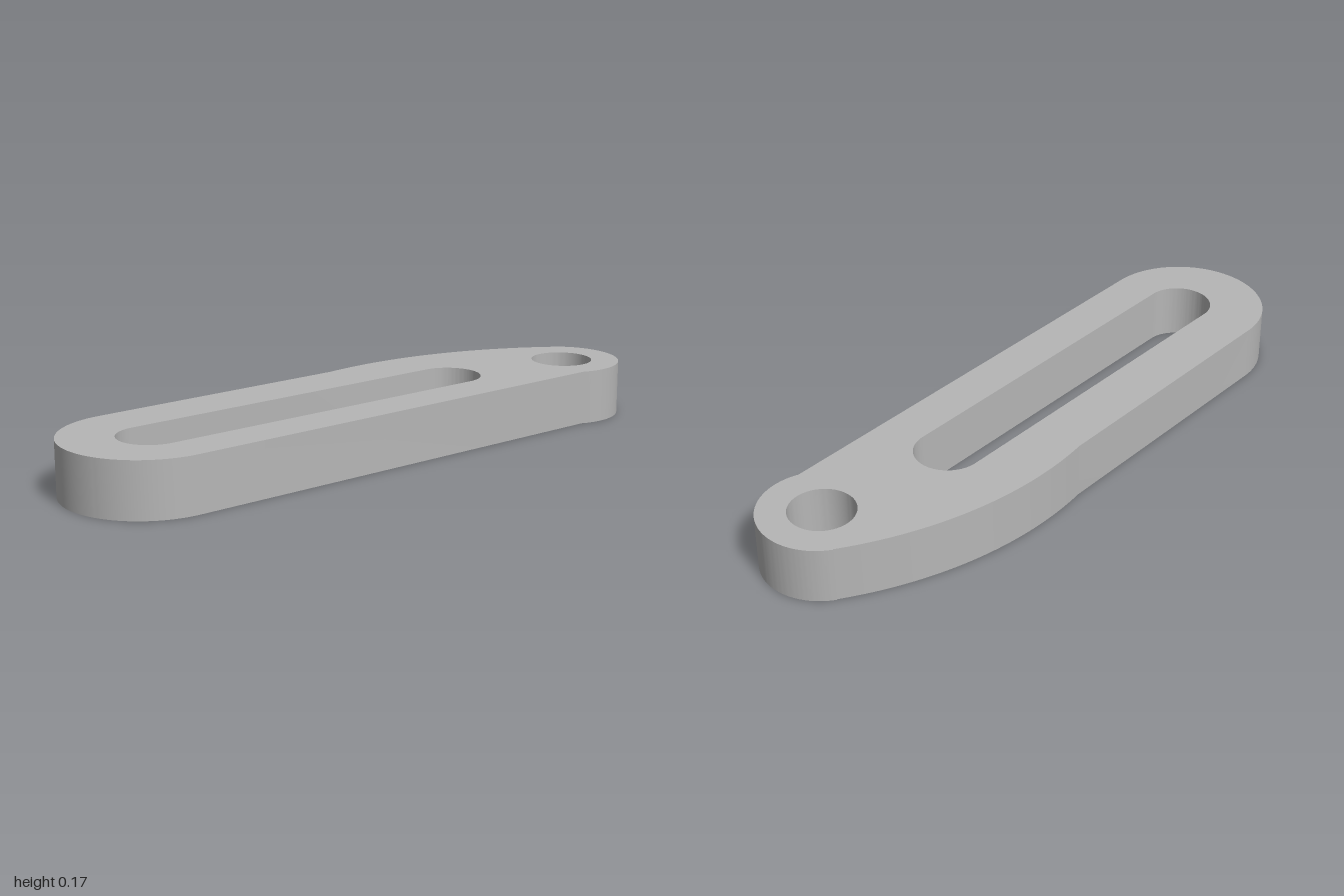
import * as THREE from 'three';
import { toCreasedNormals } from 'three/addons/utils/BufferGeometryUtils.js';

const deg = THREE.MathUtils.degToRad;
const THICKNESS = 0.173;
const TILT = deg(14.36); // slope of the arm

export function createModel() {
  const group = new THREE.Group();
  group.name = 'slottedArm';
  const grey = new THREE.MeshStandardMaterial({ color: 0xb6b6b6 });
  grey.name = 'grey metal';

  // Outline, drawn counter-clockwise; shape y becomes -z
  const outline = new THREE.Shape();
  outline.absarc(-0.74, -0.145, 0.26, TILT + Math.PI / 2, TILT + Math.PI * 1.5, false); // wide end
  outline.absarc(0.81, 0.165, 0.188, deg(-99), deg(69.9), false); // eye end
  outline.absarc(0.475, -0.753, 1.163, deg(69.9), deg(112), false); // bulged back edge
  outline.closePath();

  // Long slot
  const slot = new THREE.Path();
  slot.absarc(-0.73, -0.158, 0.104, TILT + Math.PI / 2, TILT + Math.PI * 1.5, false);
  slot.absarc(0.362, 0.122, 0.104, TILT - Math.PI / 2, TILT + Math.PI / 2, false);
  slot.closePath();

  // Round eye hole
  const eye = new THREE.Path();
  eye.absarc(0.81, 0.165, 0.099, 0, Math.PI * 2, false);
  outline.holes.push(slot, eye);

  // Plate with smooth curved walls and sharp rims
  const plate = new THREE.ExtrudeGeometry(outline, {
    depth: THICKNESS, bevelEnabled: false, curveSegments: 40,
  });
  plate.rotateX(-Math.PI / 2);
  const arm = new THREE.Mesh(toCreasedNormals(plate, 0.3), grey);
  arm.name = 'armPlate';
  group.add(arm);
  return group;
}
